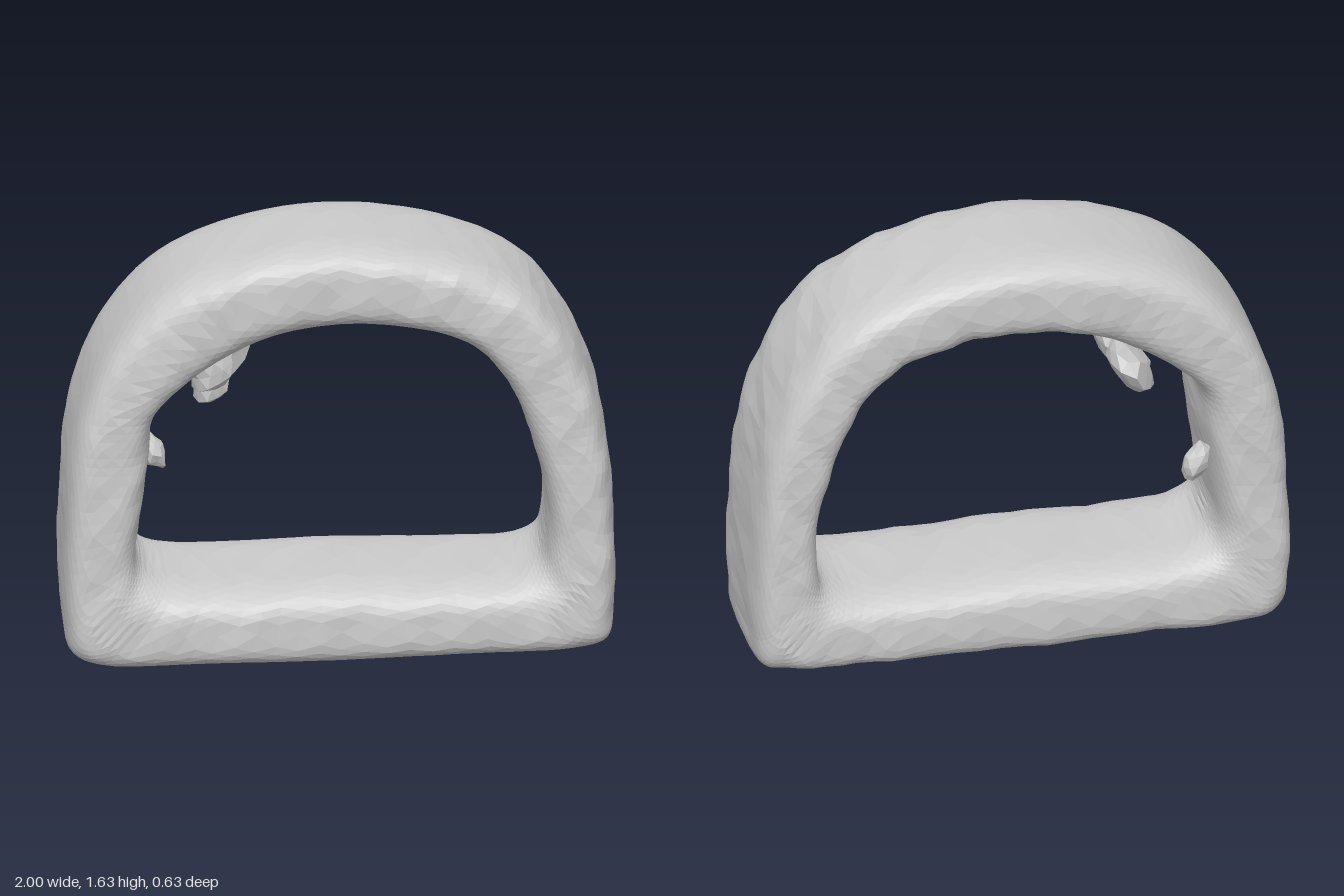
import * as THREE from 'three';

const material = new THREE.MeshStandardMaterial({ color: 0xcccccc, flatShading: true });

// Paired stations around the ring: outer x, y and inner x, y
const stations = [
  [0, 0.015, 0, 0.325], [0.5, 0.03, 0.4, 0.315], [0.85, 0.04, 0.64, 0.325],
  [0.97, 0.075, 0.72, 0.37], [0.99, 0.2, 0.745, 0.46], [0.99, 0.5, 0.745, 0.6],
  [0.97, 0.8, 0.705, 0.8], [0.925, 1.02, 0.65, 0.97], [0.825, 1.25, 0.575, 1.12],
  [0.66, 1.45, 0.45, 1.245], [0.39, 1.58, 0.25, 1.305], [0, 1.64, 0, 1.325],
  [-0.36, 1.59, -0.24, 1.285], [-0.64, 1.465, -0.4, 1.21], [-0.84, 1.24, -0.55, 1.11],
  [-0.94, 1.0, -0.665, 0.99], [-0.98, 0.8, -0.685, 0.8], [-0.995, 0.5, -0.72, 0.56],
  [-0.995, 0.2, -0.73, 0.43], [-0.97, 0.06, -0.7, 0.36], [-0.88, 0.02, -0.62, 0.325],
  [-0.5, 0.015, -0.4, 0.315],
];

// Smooth repeatable unevenness of the surface
const wobble = (x, y, z) =>
  0.7 * Math.sin(11 * x + 5 * z + 1) * Math.sin(9 * y - 7 * z)
  + 0.5 * Math.sin(23 * x - 17 * y + 19 * z)
  + 0.5 * Math.sin(41 * x + 13 * z) * Math.sin(37 * y + 29 * z);

// Rounded power curve for the squarish section
const squarish = (v, power) => Math.sign(v) * Math.abs(v) ** power;

function ringGeometry(segments = 132, sides = 32) {
  const loop = (k) => new THREE.CatmullRomCurve3(
    stations.map((s) => new THREE.Vector3(s[k], s[k + 1], 0)), true, 'centripetal');
  const outer = loop(0), inner = loop(2);
  const positions = [], index = [];
  for (let i = 0; i < segments; i++) {
    const a = outer.getPoint(i / segments), b = inner.getPoint(i / segments);
    for (let j = 0; j < sides; j++) {
      const angle = ((j + 0.5 * (i % 2)) / sides) * Math.PI * 2;
      const c = Math.cos(angle), s = Math.sin(angle);
      // The inner side is rounder, and the front leans back a little
      const p = b.clone().lerp(a, 0.5 + 0.5 * squarish(c, c > 0 ? 0.5 : 0.6));
      p.z = squarish(s, 0.5) * (s > 0 ? 0.315 - 0.02 * p.y : 0.302);
      const n = 0.005 * wobble(p.x, p.y, p.z);
      p.x += n * 0.6;
      p.y += n * 0.6;
      p.z += n;
      positions.push(p.x, p.y, p.z);
      const i2 = (i + 1) % segments, j2 = (j + 1) % sides;
      const v = i * sides + j, w = i2 * sides + j, v2 = i * sides + j2, w2 = i2 * sides + j2;
      // Alternate the diagonals to follow the staggered rows
      if (i % 2) index.push(v, w, w2, v, w2, v2);
      else index.push(v, w, v2, w, w2, v2);
    }
  }
  const geometry = new THREE.BufferGeometry();
  geometry.setAttribute('position', new THREE.Float32BufferAttribute(positions, 3));
  geometry.setIndex(index);
  geometry.computeVertexNormals();
  return geometry;
}

// Ragged faceted lump with the given centre, radii and tilt
function lump(name, centre, radii, tilt) {
  const geometry = new THREE.IcosahedronGeometry(1, 1);
  const pos = geometry.attributes.position;
  const v = new THREE.Vector3();
  for (let i = 0; i < pos.count; i++) {
    v.fromBufferAttribute(pos, i);
    v.multiplyScalar(1 + 0.13 * Math.sin(7 * v.x + 5 * v.y + 9 * v.z + centre[0] * 20));
    pos.setXYZ(i, v.x, v.y, v.z);
  }
  geometry.computeVertexNormals();
  const mesh = new THREE.Mesh(geometry, material);
  mesh.name = name;
  mesh.position.set(...centre);
  mesh.scale.set(...radii);
  mesh.rotation.z = tilt;
  return mesh;
}

export function createModel() {
  const group = new THREE.Group();
  group.name = 'archedRing';
  const ring = new THREE.Mesh(ringGeometry(), material);
  ring.name = 'ring';
  group.add(ring);

  // Debris clinging to the inside of the arch
  group.add(
    lump('upperLumpFront', [-0.465, 1.13, 0.09], [0.08, 0.09, 0.09], -0.2),
    lump('upperLumpMiddle', [-0.39, 1.15, -0.04], [0.075, 0.15, 0.1], -0.45),
    lump('upperLumpBack', [-0.42, 1.1, -0.15], [0.07, 0.13, 0.09], -0.45),
    lump('upperLumpTip', [-0.455, 1.02, -0.04], [0.065, 0.08, 0.1], -0.3),
    lump('lowerLump', [-0.655, 0.69, -0.18], [0.045, 0.08, 0.05], 0.5),
  );
  return group;
}
